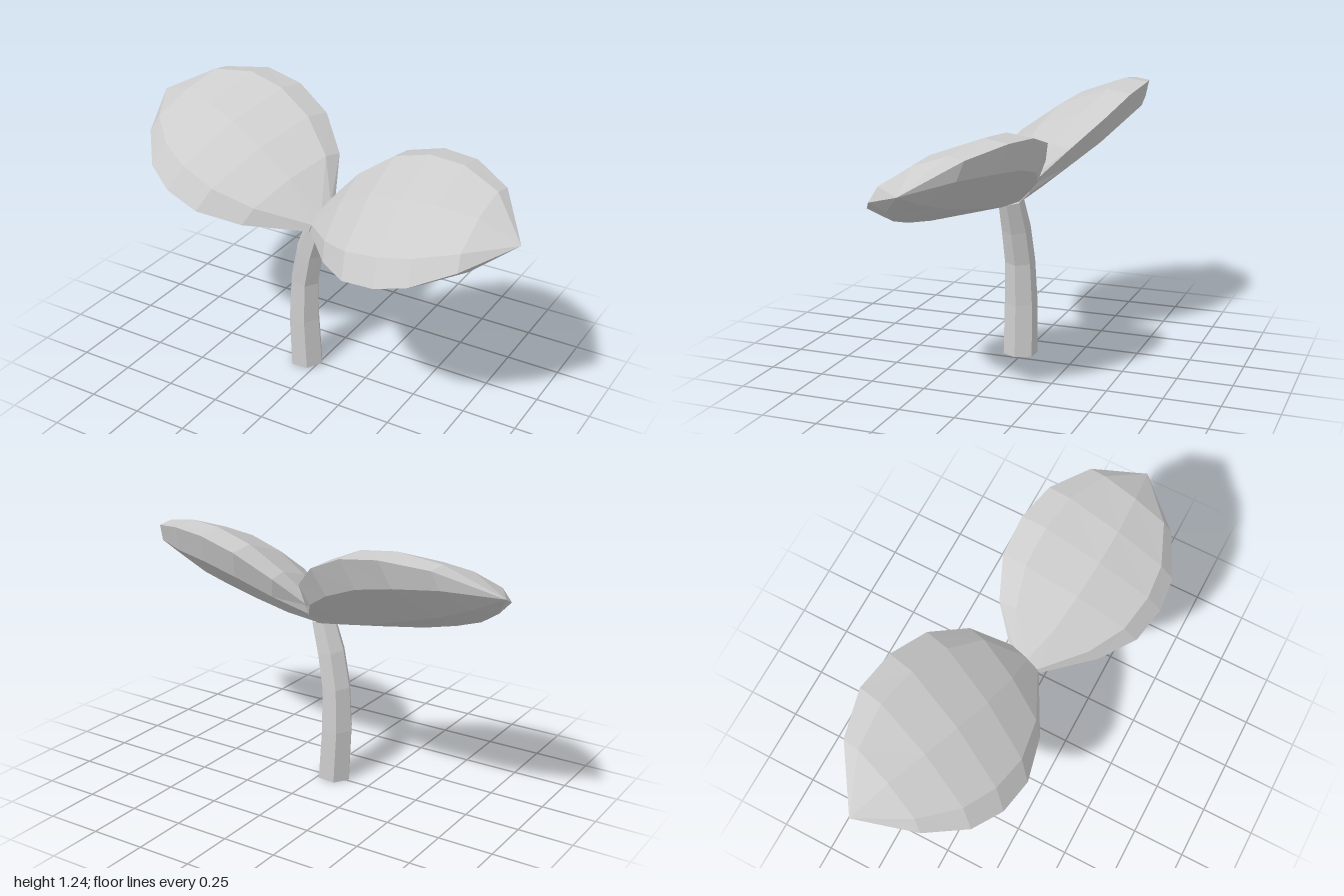
import * as THREE from 'three';

const V = (x, y, z) => new THREE.Vector3(x, y, z);

// Closed faceted skin over a row of equal-sized rings, fanned to a point at each end
function skin(rings, start, end, flip) {
  const pos = [];
  const tri = (a, b, c) => {
    for (const p of flip ? [a, c, b] : [a, b, c]) pos.push(p.x, p.y, p.z);
  };
  const n = rings[0].length;
  const last = rings[rings.length - 1];
  for (let i = 0; i < n; i++) {
    const k = (i + 1) % n;
    tri(start, rings[0][k], rings[0][i]);
    for (let r = 0; r < rings.length - 1; r++) {
      const a = rings[r], b = rings[r + 1];
      tri(a[i], a[k], b[k]);
      tri(a[i], b[k], b[i]);
    }
    tri(end, last[i], last[k]);
  }
  const geo = new THREE.BufferGeometry();
  geo.setAttribute('position', new THREE.Float32BufferAttribute(pos, 3));
  geo.computeVertexNormals();
  return geo;
}

// Leaf cross-section: fraction across from front edge to back edge, and height off the chord
const SECTION = [
  [0, 0], [0.14, 0.07], [0.51, 0.1], [0.87, 0.068],
  [1, 0], [0.87, -0.098], [0.51, -0.155], [0.14, -0.102],
];
const FULLNESS = [0.32, 0.73, 0.95, 1, 0.92, 0.63];

// Leaf lofted between its front and back edge curves
function leafGeometry(front, back, tip, flip) {
  const base = V(...front[0]).lerp(V(...back[0]), 0.5);
  const axis = V(...tip).sub(base);
  const rings = front.map((f, r) => {
    const F = V(...f);
    const chord = V(...back[r]).sub(F);
    const up = axis.clone().cross(chord).normalize();
    if (up.y < 0) up.negate();
    return SECTION.map(([u, h]) =>
      F.clone().addScaledVector(chord, u).addScaledVector(up, h * FULLNESS[r]));
  });
  return skin(rings, base, V(...tip), flip);
}

// Six-sided tapering stem along a bent path; each row is x, y, z, radius
function stemGeometry() {
  const path = [
    [-0.06, 0.005, 0.01, 0.08], [-0.073, 0.25, 0.012, 0.077], [-0.067, 0.45, 0.015, 0.07],
    [-0.035, 0.61, 0.022, 0.067], [0.012, 0.755, 0.03, 0.058],
  ];
  const rings = path.map(([x, y, z, r], i) => {
    const a = path[Math.max(i - 1, 0)], b = path[Math.min(i + 1, path.length - 1)];
    const lean = Math.atan2(b[0] - a[0], b[1] - a[1]);
    return Array.from({ length: 6 }, (_, k) => {
      const t = (k + 0.5) * Math.PI / 3;
      const s = r * Math.sin(t);
      return V(x + s * Math.cos(lean), y - s * Math.sin(lean), z + r * Math.cos(t));
    });
  });
  return skin(rings, V(-0.06, 0.005, 0.01), V(0.015, 0.78, 0.03), false);
}

export function createModel() {
  const model = new THREE.Group();
  model.name = 'sprout';
  const grey = new THREE.MeshStandardMaterial({ color: 0xcccccc, flatShading: true });
  grey.name = 'plainGrey';

  const add = (name, geo) => {
    const mesh = new THREE.Mesh(geo, grey);
    mesh.name = name;
    model.add(mesh);
  };

  add('stem', stemGeometry());

  add('leftLeaf', leafGeometry(
    [[0.01, 0.745, 0.09], [0.19, 0.745, 0.29], [0.345, 0.755, 0.4],
      [0.51, 0.785, 0.435], [0.655, 0.825, 0.42], [0.825, 0.895, 0.325]],
    [[0.03, 0.84, -0.07], [0.145, 0.97, -0.18], [0.305, 1.08, -0.245],
      [0.48, 1.13, -0.245], [0.655, 1.135, -0.205], [0.84, 1.095, -0.095]],
    [1, 0.97, 0.115], true));

  add('rightLeaf', leafGeometry(
    [[0, 0.745, 0.09], [-0.26, 0.77, 0.23], [-0.47, 0.805, 0.28],
      [-0.64, 0.855, 0.255], [-0.78, 0.915, 0.18], [-0.905, 1.0, 0.02]],
    [[0.04, 0.83, -0.07], [-0.03, 0.99, -0.23], [-0.17, 1.115, -0.35],
      [-0.35, 1.2, -0.415], [-0.54, 1.232, -0.44], [-0.75, 1.212, -0.395]],
    [-1, 1.1, -0.24], false));

  return model;
}
